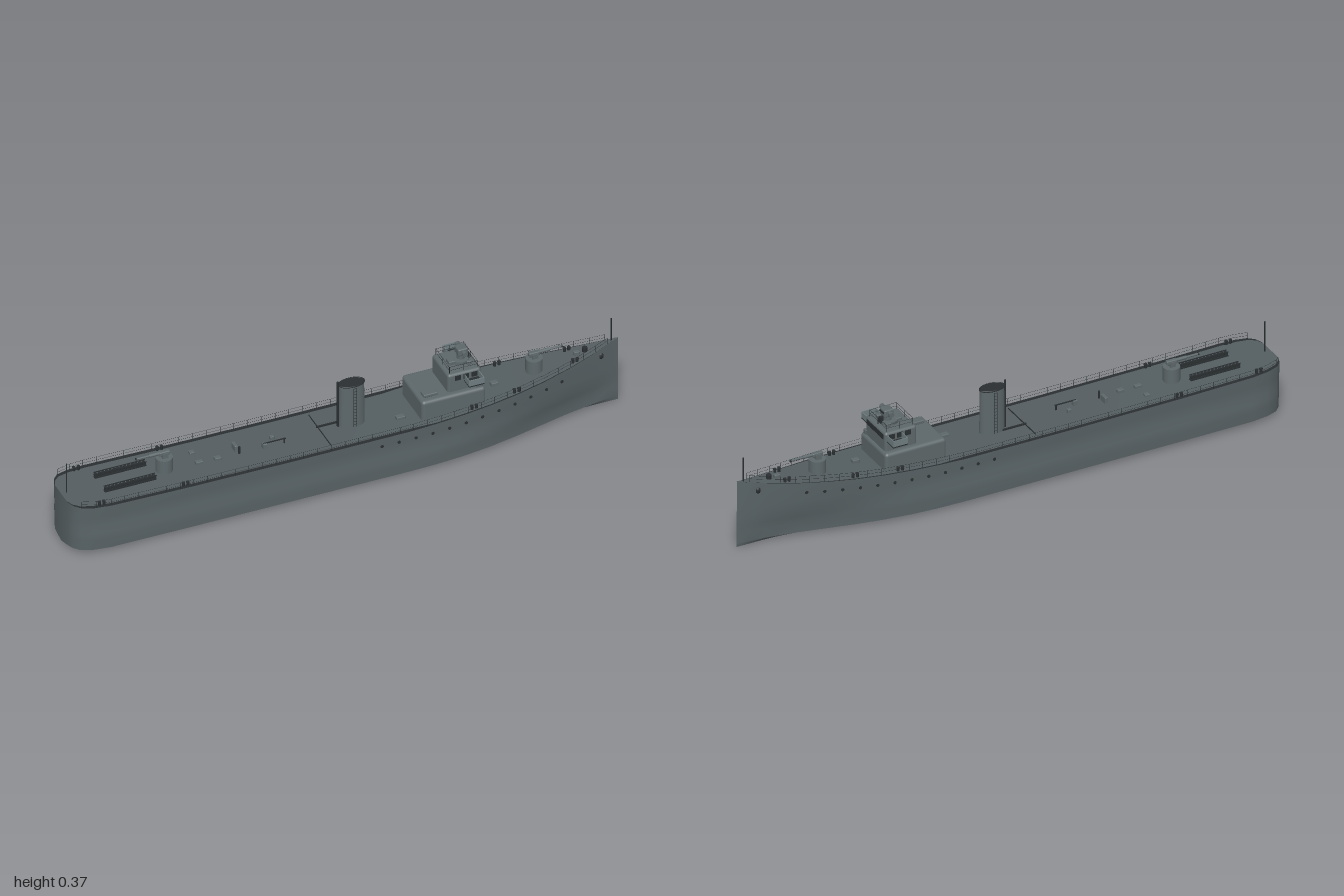
import * as THREE from 'three';
import { mergeGeometries, toCreasedNormals } from 'three/addons/utils/BufferGeometryUtils.js';
import { RoundedBoxGeometry } from 'three/addons/geometries/RoundedBoxGeometry.js';

// Stations along the hull: x, half beam at deck, deck height, bottom fullness
const STATIONS = [
  [-1, 0.055, 0.19, 0.9], [-0.99, 0.083, 0.19, 0.92], [-0.97, 0.104, 0.189, 0.94], [-0.93, 0.117, 0.187, 0.96],
  [-0.87, 0.123, 0.185, 0.98], [-0.6, 0.1235, 0.18, 0.985], [-0.2, 0.1235, 0.177, 0.985], [0.2, 0.1235, 0.178, 0.985],
  [0.3, 0.1215, 0.181, 0.98], [0.4, 0.1165, 0.185, 0.96], [0.5, 0.108, 0.19, 0.91], [0.6, 0.096, 0.197, 0.82],
  [0.7, 0.079, 0.206, 0.7], [0.8, 0.057, 0.217, 0.56], [0.9, 0.031, 0.232, 0.45], [0.96, 0.013, 0.243, 0.4], [1, 0.001, 0.25, 0.5],
];
const at = (x, k) => {
  const i = Math.min(Math.max(STATIONS.findIndex((s) => s[0] >= x), 1), STATIONS.length - 1);
  const a = STATIONS[i - 1], b = STATIONS[i];
  return a[k] + (b[k] - a[k]) * ((x - a[0]) / (b[0] - a[0]));
};
const beam = (x) => at(x, 1), deckY = (x) => at(x, 2);

// Skin between rows of [x, y, z] points
function loft(rows, crease = 0.6) {
  const pos = [];
  for (let i = 0; i < rows.length - 1; i++) for (let j = 0; j < rows[i].length - 1; j++) {
    const a = rows[i][j], b = rows[i + 1][j], c = rows[i + 1][j + 1], d = rows[i][j + 1];
    pos.push(...a, ...b, ...c, ...a, ...c, ...d);
  }
  const g = new THREE.BufferGeometry();
  g.setAttribute('position', new THREE.Float32BufferAttribute(pos, 3));
  return toCreasedNormals(g, crease);
}

const box = (w, h, d, x, y, z) => new THREE.BoxGeometry(w, h, d).translate(x, y, z);
const rbox = (w, h, d, r, x, y, z) => new RoundedBoxGeometry(w, h, d, 3, r).translate(x, y, z);
const cyl = (r, h, x, y, z, n = 16, r2 = r) => new THREE.CylinderGeometry(r2, r, h, n).translate(x, y, z);
const rod = (a, b, r, n = 5) => { // straight bar between two points
  const p = new THREE.Vector3(...a), d = new THREE.Vector3(...b).sub(p);
  const q = new THREE.Quaternion().setFromUnitVectors(new THREE.Vector3(0, 1, 0), d.clone().normalize());
  return new THREE.CylinderGeometry(r, r, d.length(), n).applyQuaternion(q).translate(...p.addScaledVector(d, 0.5));
};

export function createModel() {
  const ship = new THREE.Group();
  ship.name = 'warship';
  const mat = (name, color) => Object.assign(new THREE.MeshStandardMaterial({ color }), { name });
  const hullGrey = mat('hull grey', 0x596366);
  const deckGrey = mat('deck grey', 0x545d60);
  const houseGrey = mat('superstructure grey', 0x5d676a);
  const dark = mat('dark metal', 0x2a2f31);
  const pale = mat('pale screen', 0x6f7d81);
  const part = (name, material, geos) => {
    const clean = [].concat(geos).map((g) => {
      const n = g.index ? g.toNonIndexed() : g;
      n.deleteAttribute('uv');
      return n;
    });
    const m = new THREE.Mesh(mergeGeometries(clean), material);
    m.name = name;
    ship.add(m);
    return m;
  };
  const sides = [1, -1];

  // Hull: V bottom, hard chine, slight waist, closed flat at the stern
  const section = ([x, b, y, f], w = 1) => {
    const half = [[b * f * 0.5, 0.007], [b * f, 0.015], [b * (f + 0.015), 0.05], [b * Math.min(1, f + 0.02 + (1 - f) * 0.3), 0.08],
      [b * (0.965 - (1 - f) * 0.3), 0.105], [b * (0.985 - (1 - f) * 0.12), 0.145], [b, y]];
    return [...half.map(([z, h]) => [x, h, -z * w]).reverse(), [x, 0, 0], ...half.map(([z, h]) => [x, h, z * w])];
  };
  part('hull', hullGrey, loft([section(STATIONS[0], 0), ...STATIONS.map((s) => section(s))]));

  // Deck with dark waterways along both edges
  const inner = (s) => s[1] * (s[0] < 0.3 ? 0.88 : 0.95);
  part('deck', deckGrey, loft(STATIONS.map((s) => [[s[0], s[2], inner(s)], [s[0], s[2], -inner(s)]])));
  part('waterways', dark, sides.map((k) => loft(STATIONS.map((s) => {
    const e = [[s[0], s[2], s[1] * k], [s[0], s[2], inner(s) * k]];
    return k > 0 ? e : e.reverse();
  }))));

  // Portholes and anchors
  const ports = [];
  for (let i = 0; i < 12; i++) for (const k of sides) {
    const x = 0.1 + i * 0.061, t = Math.max(0, x - 0.3);
    const y = 0.146 + 0.075 * t * t + 0.03 * t;
    const w = 0.985 - (1 - at(x, 3)) * 0.12;
    const z = beam(x) * (w + (1 - w) * Math.max(0, (y - 0.145) / (deckY(x) - 0.145)));
    ports.push(new THREE.CylinderGeometry(0.0055, 0.0055, 0.006, 12).rotateX(Math.PI / 2).translate(x, y, z * k));
  }
  part('portholes', dark, ports);
  part('anchors', dark, sides.map((k) => new THREE.SphereGeometry(0.009, 10, 8).scale(1, 1.3, 0.6).translate(0.93, 0.208, k * 0.021)));

  // Guard rails following the deck edge
  const rails = [];
  for (const k of sides) {
    const pt = (x, h) => [x, deckY(x) + h, k * Math.max(beam(x) - 0.004, 0.001)];
    const xs = Array.from({ length: 40 }, (_, i) => -0.97 + i * 0.0494);
    xs.forEach((x, i) => {
      rails.push(rod(pt(x, 0), pt(x, 0.024), 0.0008, 4));
      if (i) for (const h of [0.012, 0.024]) rails.push(rod(pt(xs[i - 1], h), pt(x, h), 0.0005, 4));
    });
  }
  part('guardRails', dark, rails);
  part('flagstaffs', dark, [rod([-0.98, 0.18, 0], [-0.98, 0.305, 0], 0.002), rod([0.975, 0.24, 0], [0.975, 0.335, 0], 0.002)]);

  // Lower deckhouse and bridge
  part('deckhouse', houseGrey, rbox(0.23, 0.09, 0.176, 0.012, 0.374, 0.208, 0));
  part('bridge', houseGrey, [rbox(0.12, 0.08, 0.136, 0.01, 0.42, 0.281, 0), rbox(0.05, 0.012, 0.03, 0.003, 0.3, 0.258, 0.05), rbox(0.025, 0.02, 0.016, 0.003, 0.47, 0.258, 0.07)]);
  const panes = [-2, -1, 0, 1, 2].map((i) => box(0.003, 0.018, 0.02, 0.4805, 0.304, i * 0.0235));
  for (const k of sides) for (const x of [0.395, 0.425, 0.455]) panes.push(box(0.02, 0.018, 0.003, x, 0.304, k * 0.0685));
  part('bridgeWindows', dark, panes);
  part('wingFloors', dark, sides.map((k) => box(0.055, 0.004, 0.044, 0.445, 0.288, k * 0.089)));
  part('wingScreens', pale, sides.flatMap((k) => [
    box(0.003, 0.022, 0.044, 0.471, 0.301, k * 0.089), box(0.003, 0.022, 0.044, 0.419, 0.301, k * 0.089), box(0.055, 0.022, 0.003, 0.445, 0.301, k * 0.1095)]));

  // Bridge roof rail
  const roof = [[0.37, -0.057], [0.47, -0.057], [0.47, 0.057], [0.37, 0.057]];
  part('roofRail', dark, roof.flatMap(([x, z], i) => {
    const [x2, z2] = roof[(i + 1) % 4], xm = (x + x2) / 2, zm = (z + z2) / 2;
    return [rod([x, 0.32, z], [x, 0.346, z], 0.0009), rod([xm, 0.32, zm], [xm, 0.346, zm], 0.0009),
      ...[0.333, 0.346].map((y) => rod([x, y, z], [x2, y, z2], 0.0006))];
  }));

  // Rangefinder director on its pedestal
  part('director', houseGrey, [cyl(0.03, 0.012, 0.43, 0.326, 0, 20), cyl(0.014, 0.03, 0.435, 0.342, 0),
    rbox(0.036, 0.027, 0.036, 0.005, 0.437, 0.361, 0), rbox(0.025, 0.014, 0.03, 0.003, 0.4, 0.326, 0),
    rod([0.437, 0.364, -0.032], [0.437, 0.364, 0.032], 0.006, 12),
    ...sides.flatMap((k) => [rod([0.437, 0.364, k * 0.026], [0.437, 0.364, k * 0.036], 0.009, 12), rbox(0.018, 0.014, 0.014, 0.003, 0.45, 0.33, k * 0.033)])]);
  part('directorSights', dark, [...[-1, 0, 1].map((i) => box(0.003, 0.007, 0.006, 0.4555, 0.365, i * 0.009)),
    box(0.012, 0.022, 0.012, 0.458, 0.335, 0)]);

  // Oval funnel with cap, steam pipe and ladder
  const oval = (g) => g.scale(1, 1, 0.58).translate(0.043, 0, 0);
  part('funnel', houseGrey, oval(cyl(0.046, 0.165, 0, 0.2585, 0, 32, 0.044)));
  part('funnelCap', dark, [oval(new THREE.TorusGeometry(0.044, 0.003, 8, 32).rotateX(Math.PI / 2).translate(0, 0.341, 0)),
    oval(cyl(0.042, 0.004, 0, 0.341, 0, 32))]);
  const fittings = [rod([-0.006, 0.17, 0], [-0.006, 0.356, 0], 0.004, 8)];
  for (const k of sides) {
    for (const x of [0.039, 0.049]) fittings.push(rod([x, 0.18, k * 0.0285], [x, 0.335, k * 0.0285], 0.001));
    for (let y = 0.19; y < 0.335; y += 0.012) fittings.push(rod([0.039, y, k * 0.0285], [0.049, y, k * 0.0285], 0.0008));
  }
  part('funnelPipeAndLadders', dark, fittings);

  // Deck guns: drum mount, cradle, breech and barrel
  const gun = (name, x, y, dir) => {
    part(name + 'Mount', houseGrey, [cyl(0.029, 0.055, x, y + 0.0225, 0, 24), cyl(0.009, 0.02, x, y + 0.056, 0, 12)]);
    part(name, houseGrey, [rbox(0.04, 0.016, 0.016, 0.004, x, y + 0.066, 0), ...sides.map((k) => box(0.022, 0.018, 0.003, x, y + 0.06, k * 0.011)),
      rod([x, y + 0.068, 0], [x + dir * 0.055, y + 0.068, 0], 0.006, 12), rod([x, y + 0.068, 0], [x + dir * 0.1, y + 0.068, 0], 0.0038, 12)]);
    part(name + 'Muzzle', dark, rod([x + dir * 0.098, y + 0.068, 0], [x + dir * 0.102, y + 0.068, 0], 0.0045, 12));
  };
  gun('forwardGun', 0.698, 0.205, 1);
  gun('aftGun', -0.63, 0.183, -1);

  // Stern racks carrying drums
  const racks = [];
  for (const k of sides) {
    racks.push(box(0.185, 0.004, 0.014, -0.77, 0.188, k * 0.042));
    for (const s of sides) racks.push(box(0.185, 0.003, 0.002, -0.77, 0.203, k * 0.042 + s * 0.007));
    for (let i = 0; i < 14; i++) racks.push(rod([-0.856 + i * 0.0132, 0.196, k * 0.042 - 0.006], [-0.856 + i * 0.0132, 0.196, k * 0.042 + 0.006], 0.0062, 10));
  }
  part('sternRacks', dark, racks);

  // Paired bollards along the sides
  const bollards = [];
  for (const x of [-0.9, -0.6, 0.44, 0.6, 0.83]) for (const k of sides) for (const s of sides) {
    const z = k * Math.max(beam(x) - 0.014, 0.02);
    bollards.push(cyl(0.005, 0.014, x + s * 0.008, deckY(x) + 0.006, z, 10), cyl(0.006, 0.003, x + s * 0.008, deckY(x) + 0.013, z, 10));
  }
  part('bollards', dark, bollards);

  // Hatches, lockers and vents on the main deck
  const hatch = (x, z, w, h, d) => rbox(w, h, d, 0.002, x, deckY(x) + h / 2 - 0.002, z);
  part('hatches', houseGrey, [hatch(-0.51, 0.012, 0.025, 0.012, 0.016), hatch(-0.445, 0.015, 0.022, 0.012, 0.018),
    hatch(-0.37, -0.015, 0.012, 0.024, 0.032), hatch(-0.275, 0.015, 0.016, 0.02, 0.016), hatch(-0.235, -0.02, 0.014, 0.016, 0.014),
    hatch(-0.51, -0.05, 0.018, 0.01, 0.018), hatch(0.2, 0.04, 0.03, 0.012, 0.02), hatch(0.55, 0.01, 0.025, 0.014, 0.02), hatch(0.85, 0, 0.02, 0.014, 0.014)]);
  part('deckGear', dark, [cyl(0.004, 0.03, -0.365, 0.19, 0.012, 8), box(0.08, 0.003, 0.004, -0.24, 0.195, 0.015),
    cyl(0.003, 0.02, -0.205, 0.186, 0.015, 8), box(0.002, 0.004, 0.19, -0.07, 0.179, 0), box(0.09, 0.005, 0.006, -0.03, 0.18, -0.02),
    cyl(0.009, 0.016, 0.88, 0.236, 0, 12)]);

  return ship;
}
